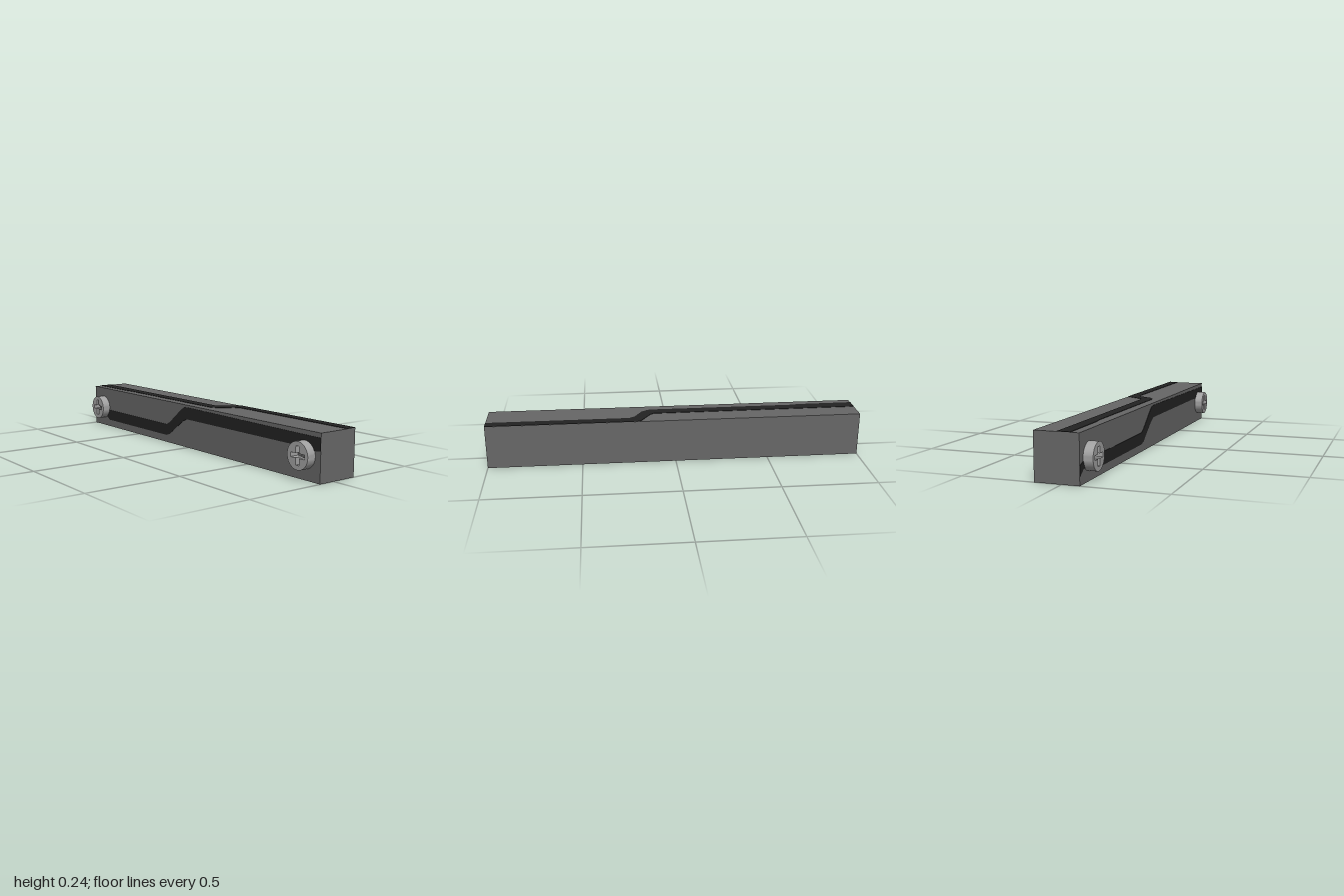
import * as THREE from 'three';
import { toCreasedNormals } from 'three/addons/utils/BufferGeometryUtils.js';

const WIDTH = 2, HEIGHT = 0.234, BACK = -0.133, FRONT = 0.087;
const HEAD_DEPTH = 0.047, HEAD_RADIUS = 0.067, INLAY = 0.002;

function material(name, color) {
  const m = new THREE.MeshStandardMaterial({ color });
  m.name = name;
  return m;
}

// Thin plate cut from a closed outline
function plate(points) {
  const shape = new THREE.Shape(points.map(([x, y]) => new THREE.Vector2(x, y)));
  return new THREE.ExtrudeGeometry(shape, { depth: INLAY, bevelEnabled: false });
}

// Round head pierced by a cross-shaped drive recess
function screwHeadGeometry() {
  const shape = new THREE.Shape();
  shape.absarc(0, 0, HEAD_RADIUS, 0, Math.PI * 2);
  const a = 0.045, w = 0.011;
  const cross = [
    [a, -w], [a, w], [w, w], [w, a], [-w, a], [-w, w],
    [-a, w], [-a, -w], [-w, -w], [-w, -a], [w, -a], [w, -w],
  ];
  shape.holes.push(new THREE.Path(cross.map(([x, y]) => new THREE.Vector2(x, y))));
  const geo = new THREE.ExtrudeGeometry(shape, {
    depth: HEAD_DEPTH, bevelEnabled: false, curveSegments: 24,
  });
  return toCreasedNormals(geo, 0.6);
}

export function createModel() {
  const group = new THREE.Group();
  group.name = 'screwedBar';
  const grey = material('body grey', 0x666666);
  const black = material('stripe black', 0x222222);
  const steel = material('screw steel', 0xa0a0a0);

  function add(name, geometry, mat, x = 0, y = 0, z = 0) {
    const mesh = new THREE.Mesh(geometry, mat);
    mesh.name = name;
    mesh.position.set(x, y, z);
    group.add(mesh);
  }

  // Solid bar
  add('bar', new THREE.BoxGeometry(WIDTH, HEIGHT, FRONT - BACK), grey,
    0, HEIGHT / 2, (FRONT + BACK) / 2);

  // Stepped front stripe, which rises behind the left-hand screw
  const frontStripe = plate([
    [-1, 0.04], [-0.96, 0.068], [-0.87, 0.068], [-0.83, 0.04],
    [-0.205, 0.04], [-0.17, 0.05], [-0.145, 0.07], [-0.045, 0.14], [-0.01, 0.156],
    [0.8, 0.155], [0.85, 0.15], [0.95, 0.145], [1, 0.15],
    [1, 0.212], [0.85, 0.213], [0, 0.222], [-0.03, 0.22], [-0.06, 0.203],
    [-0.17, 0.118], [-0.2, 0.102],
    [-0.825, 0.102], [-0.85, 0.16], [-0.93, 0.16], [-0.96, 0.105], [-1, 0.09],
  ]);
  add('frontStripe', frontStripe, black, 0, 0, FRONT);

  // Stepped top stripe, outlined as x and -z
  const topStripe = plate([
    [-1, -0.045], [-0.7, -0.043], [-0.65, -0.036], [0.11, -0.036], [0.14, -0.032],
    [0.175, -0.008], [0.215, 0.06], [0.245, 0.08],
    [1, 0.08], [1, 0.132], [0.19, 0.132], [0.13, 0.038], [0.11, 0.022], [-1, 0.019],
  ]).rotateX(-Math.PI / 2);
  add('topStripe', topStripe, black, 0, HEIGHT, 0);

  // Screw heads
  const head = screwHeadGeometry();
  add('rightScrew', head, steel, -0.895, 0.115, FRONT);
  add('leftScrew', head, steel, 0.9, 0.12, FRONT);

  return group;
}
